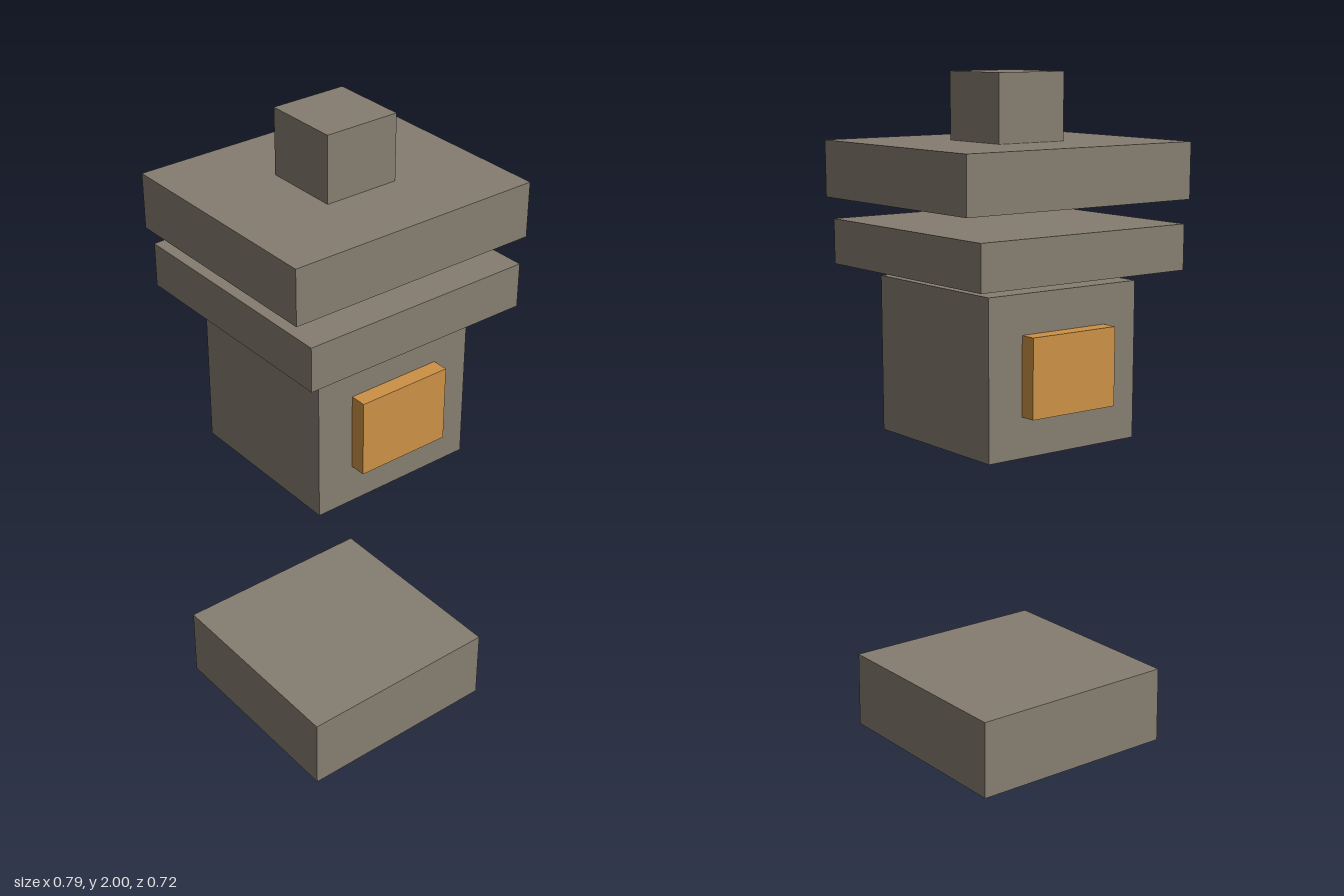
import * as THREE from 'three';

export function createModel() {
  const lantern = new THREE.Group();
  lantern.name = 'stoneLantern';

  const stone = new THREE.MeshStandardMaterial({ color: 0x857d70 });
  stone.name = 'stone';
  const glow = new THREE.MeshStandardMaterial({ color: 0xcc9146 });
  glow.name = 'amberGlow';

  // Adds a block spanning bottom..top in height, centred on x
  function block(name, width, depth, bottom, top, material = stone, z = 0) {
    const mesh = new THREE.Mesh(new THREE.BoxGeometry(width, top - bottom, depth), material);
    mesh.name = name;
    mesh.position.set(0, (bottom + top) / 2, z);
    lantern.add(mesh);
  }

  // Stacked stones, from the ground up
  block('base', 0.654, 0.654, 0, 0.23);
  block('lightChamber', 0.524, 0.524, 0.95, 1.413);
  block('lowerRoof', 0.718, 0.718, 1.445, 1.577);
  block('upperRoof', 0.785, 0.687, 1.643, 1.806);
  block('finial', 0.229, 0.229, 1.806, 2);

  // Glowing windows on the front and back
  for (const [name, side] of [['frontWindow', 1], ['backWindow', -1]]) {
    block(name, 0.294, 0.05, 1.068, 1.298, glow, side * 0.286);
  }

  return lantern;
}
